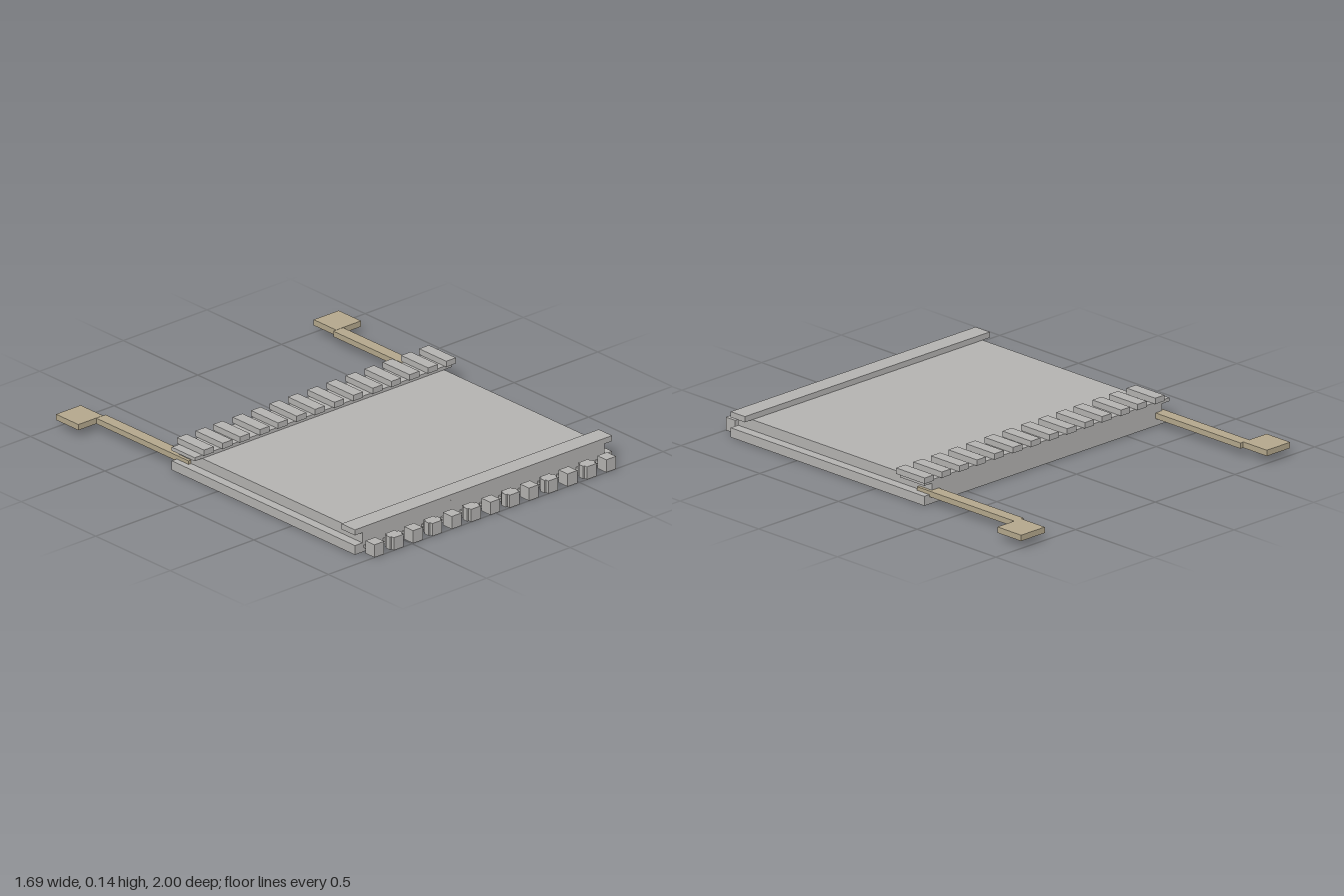
import * as THREE from 'three';

export function createModel() {
  const model = new THREE.Group();
  const grey = new THREE.MeshStandardMaterial({ color: 0xb3b2b0 });
  grey.name = 'grey metal';
  const tan = new THREE.MeshStandardMaterial({ color: 0xb3a78c });
  tan.name = 'tan metal';

  // Box given by its limits on each axis
  const box = (name, material, [x0, x1], [y0, y1], [z0, z1]) => {
    const mesh = new THREE.Mesh(new THREE.BoxGeometry(x1 - x0, y1 - y0, z1 - z0), material);
    mesh.position.set((x0 + x1) / 2, (y0 + y1) / 2, (z0 + z1) / 2);
    mesh.name = name;
    model.add(mesh);
  };

  // Slab with grooves along both sides
  box('basePlate', grey, [-0.77, 0.767], [0, 0.045], [-0.31, 0.92]);
  box('upperPlate', grey, [-0.725, 0.72], [0.045, 0.095], [-0.31, 0.92]);
  box('frontRail', grey, [-0.77, 0.767], [0.095, 0.122], [0.83, 0.92]);
  box('backRail', grey, [-0.77, 0.767], [0.095, 0.112], [-0.31, -0.155]);

  // Blocks along the back rail, slightly uneven
  const backBlocks = [-0.696, -0.585, -0.481, -0.363, -0.254, -0.143, -0.033,
    0.083, 0.196, 0.312, 0.423, 0.532, 0.643, 0.751];
  for (const x of backBlocks) {
    box('backBlock', grey, [x - 0.029, x + 0.029], [0.112, 0.14], [-0.325, -0.143]);
  }

  // Front knobs on short pins; every second knob has side ribs
  for (let i = 0; i < 13; i++) {
    const x = -0.695 + i * 0.1154;
    box('frontKnob', grey, [x - 0.029, x + 0.029], [0, 0.062], [0.94, 1]);
    box('knobPin', grey, [x - 0.024, x - 0.011], [0.02, 0.032], [0.92, 0.94]);
    if (i % 2) {
      for (const [a, b] of [[-0.038, -0.029], [0.029, 0.038]]) {
        box('knobRib', grey, [x + a, x + b], [0, 0.062], [0.956, 0.984]);
      }
    }
  }

  // Rear arms with outward feet
  box('rightArm', tan, [-0.74, -0.683], [0.035, 0.062], [-0.85, -0.23]);
  box('leftArm', tan, [0.677, 0.735], [0.035, 0.062], [-0.85, -0.23]);
  box('rightFoot', tan, [-0.847, -0.7], [0.035, 0.063], [-1, -0.85]);
  box('leftFoot', tan, [0.693, 0.842], [0.035, 0.063], [-1, -0.85]);

  return model;
}
